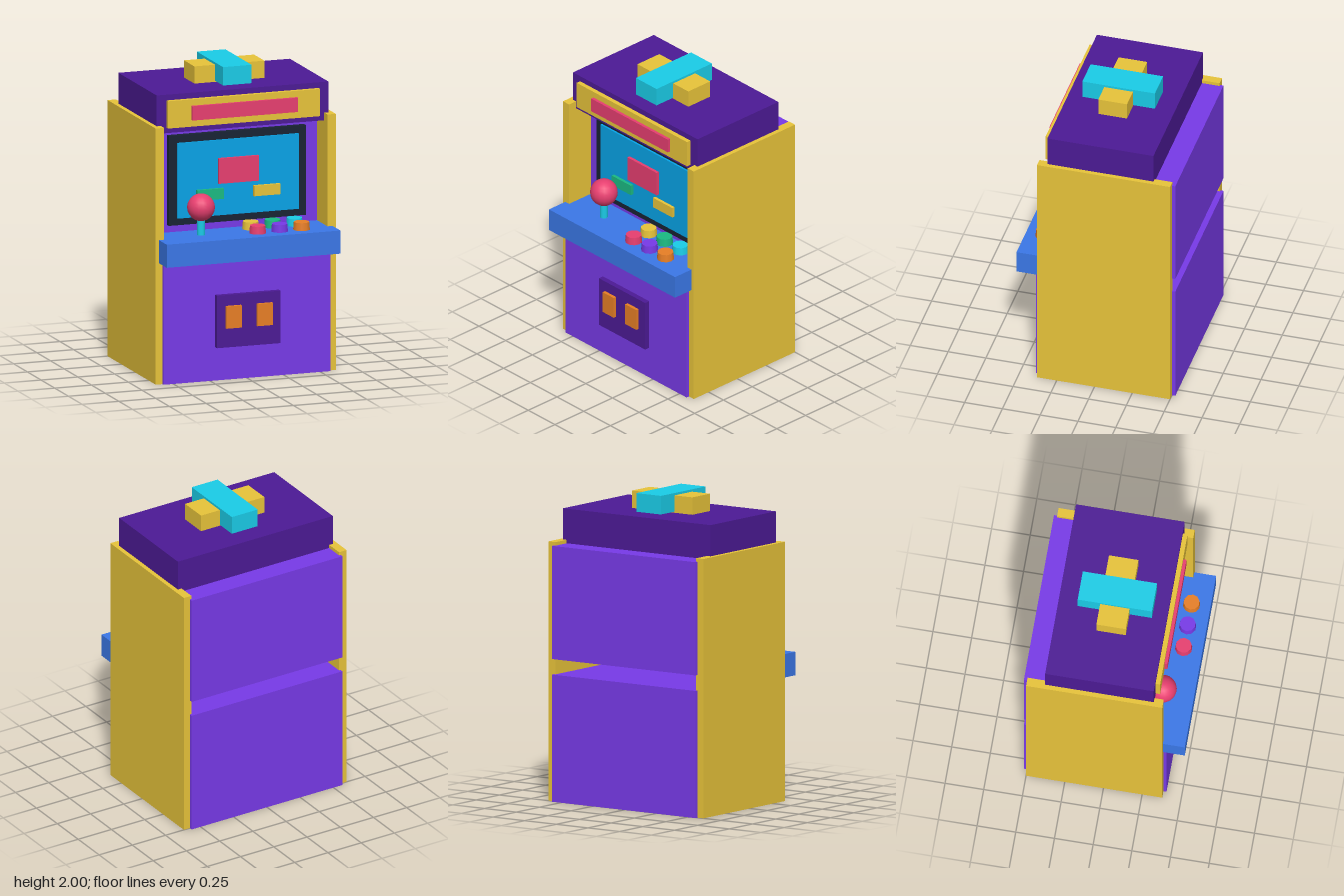
import * as THREE from 'three';

const mat = (name, color) => {
  const m = new THREE.MeshStandardMaterial({ color });
  m.name = name;
  return m;
};

export function createModel() {
  const gold = mat('gold', 0xe8c43a);
  const purple = mat('purple', 0x783ae8);
  const darkPurple = mat('dark purple', 0x4c1a95);
  const blue = mat('blue', 0x3b78e8);
  const cyan = mat('cyan', 0x1acde8);
  const red = mat('red', 0xe83f70);
  const orange = mat('orange', 0xe87f26);
  const green = mat('green', 0x1aba82);
  const screenBlue = mat('screen blue', 0x06a4e8);
  const charcoal = mat('charcoal', 0x182334);

  const model = new THREE.Group();
  model.name = 'arcadeCabinet';

  const add = (name, geometry, material, x, y, z) => {
    const mesh = new THREE.Mesh(geometry, material);
    mesh.name = name;
    mesh.position.set(x, y, z);
    model.add(mesh);
    return mesh;
  };
  // Box given by its extents on each axis
  const box = (name, material, [x0, x1], [y0, y1], [z0, z1]) =>
    add(name, new THREE.BoxGeometry(x1 - x0, y1 - y0, z1 - z0), material,
      (x0 + x1) / 2, (y0 + y1) / 2, (z0 + z1) / 2);

  // Cabinet body, set back behind the screen
  box('lowerCabinet', purple, [-0.567, 0.567], [0, 0.82], [-0.522, 0.4]);
  box('upperCabinet', purple, [-0.567, 0.567], [0.92, 1.65], [-0.522, 0.19]);
  box('leftSidePanel', gold, [0.555, 0.612], [0, 1.672], [-0.5, 0.38]);
  box('rightSidePanel', gold, [-0.612, -0.555], [0, 1.672], [-0.5, 0.38]);

  // Marquee with sign plates
  box('marquee', darkPurple, [-0.583, 0.583], [1.622, 1.873], [-0.382, 0.32]);
  box('marqueePlate', gold, [-0.517, 0.517], [1.658, 1.836], [0.31, 0.35]);
  box('marqueeStripe', red, [-0.359, 0.359], [1.702, 1.795], [0.34, 0.37]);

  // Crossed blocks on the roof
  box('roofCrossBar', gold, [-0.238, 0.238], [1.873, 1.985], [-0.11, 0.08]);
  box('roofLongBar', cyan, [-0.097, 0.097], [1.88, 2], [-0.255, 0.225]);

  // Screen and its picture
  box('screenBezel', charcoal, [-0.465, 0.465], [0.992, 1.578], [0.17, 0.226]);
  box('screen', screenBlue, [-0.412, 0.412], [1.038, 1.53], [0.2, 0.24]);
  box('screenTarget', red, [-0.138, 0.135], [1.248, 1.413], [0.23, 0.26]);
  box('screenBlockRight', green, [-0.285, -0.105], [1.148, 1.217], [0.23, 0.26]);
  box('screenBlockLeft', gold, [0.102, 0.282], [1.148, 1.217], [0.23, 0.26]);

  // Control deck
  box('controlDeck', blue, [-0.59, 0.59], [0.791, 0.942], [0.1, 0.522]);
  add('joystickShaft', new THREE.CylinderGeometry(0.026, 0.026, 0.16, 10), cyan, -0.285, 1.01, 0.328);
  add('joystickBall', new THREE.SphereGeometry(0.089, 18, 12), red, -0.285, 1.122, 0.328);

  // Two rows of three buttons
  const buttonShape = new THREE.CylinderGeometry(0.051, 0.056, 0.056, 10).rotateY(Math.PI / 2);
  [[red, purple, orange], [gold, green, cyan]].forEach((row, r) =>
    row.forEach((material, c) =>
      add('button', buttonShape, material, 0.073 + c * 0.149, 0.964, 0.401 - r * 0.13)));

  // Coin door with two slots
  box('coinDoor', darkPurple, [-0.216, 0.216], [0.218, 0.56], [0.39, 0.435]);
  for (const x of [-0.107, 0.104]) {
    box('coinSlot', orange, [x - 0.052, x + 0.052], [0.345, 0.49], [0.42, 0.456]);
  }

  return model;
}
